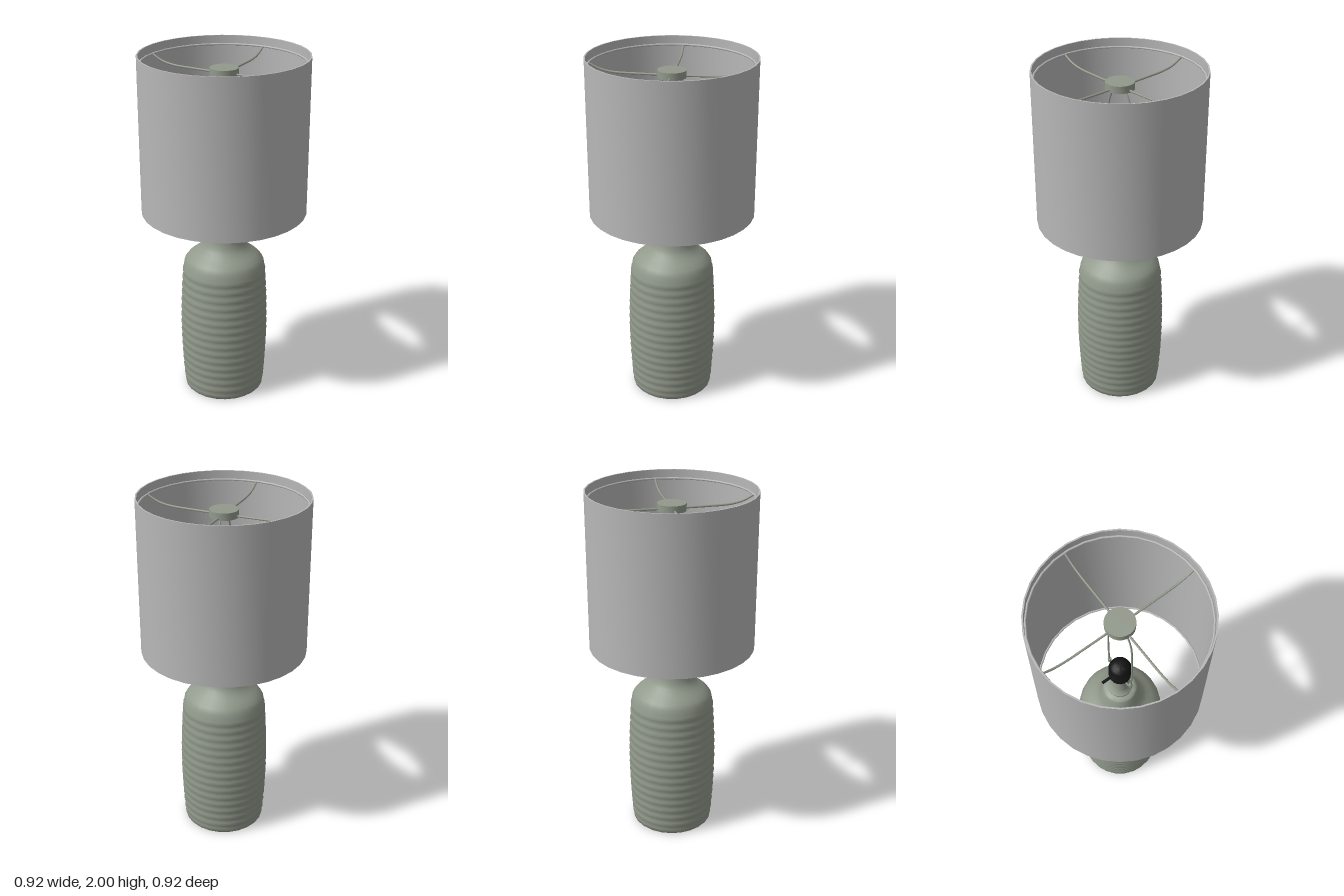
import * as THREE from 'three';
import { toCreasedNormals } from 'three/addons/utils/BufferGeometryUtils.js';

const shadeMat = new THREE.MeshStandardMaterial({ color: 0xb8b8b8 });
shadeMat.name = 'shade grey';
const sageMat = new THREE.MeshStandardMaterial({ color: 0x929a8c });
sageMat.name = 'sage green';
const blackMat = new THREE.MeshStandardMaterial({ color: 0x121212 });
blackMat.name = 'socket black';

// Profiles run upwards on the outside, as [radius, height] pairs
function lathe(name, profile, segments, material, crease = 0.7) {
  const points = profile.map(([r, y]) => new THREE.Vector2(r, y));
  const geometry = toCreasedNormals(new THREE.LatheGeometry(points, segments), crease);
  const mesh = new THREE.Mesh(geometry, material);
  mesh.name = name;
  return mesh;
}

function wire(name, points, radius, material, steps = 16) {
  const curve = new THREE.CatmullRomCurve3(points.map((p) => new THREE.Vector3(...p)));
  const mesh = new THREE.Mesh(new THREE.TubeGeometry(curve, steps, radius, 8), material);
  mesh.name = name;
  return mesh;
}

function vaseBody() {
  const profile = [[0, 0], [0.222, 0], [0.23, 0.008], [0.233, 0.03]];
  // Stacked shallow ribs over a gently bulging wall
  const ribs = 15, steps = 4, low = 0.04, high = 0.78;
  for (let i = 0; i <= ribs * steps; i++) {
    const t = i / (ribs * steps);
    const wall = 0.232 + 0.017 * Math.sin(Math.PI * Math.min(1, t * 0.94 + 0.03));
    const rib = 0.005 * Math.abs(Math.sin(Math.PI * i / steps));
    profile.push([wall + rib - 0.002, low + (high - low) * t]);
  }
  // Shoulder, neck and lip
  profile.push([0.227, 0.81], [0.21, 0.835], [0.185, 0.857], [0.157, 0.878], [0.135, 0.9],
    [0.122, 0.922], [0.114, 0.95], [0.105, 1.0], [0.096, 1.035], [0.092, 1.045], [0.083, 1.05], [0, 1.05]);
  return lathe('vaseBody', profile, 24, sageMat, 1.0);
}

function shade() {
  const group = new THREE.Group();
  group.name = 'lampshade';
  const outer = 0.462, inner = 0.454, bottom = 1.122, top = 2;
  group.add(lathe('shadeWall',
    [[outer, bottom], [outer, top], [inner, top], [inner, bottom], [outer, bottom]], 32, shadeMat));
  for (const [name, y] of [['upperRing', 1.95], ['lowerRing', 1.132]]) {
    const ring = new THREE.Mesh(new THREE.TorusGeometry(0.449, 0.006, 8, 32), shadeMat);
    ring.name = name;
    ring.rotation.x = Math.PI / 2;
    ring.position.y = y;
    group.add(ring);
  }
  return group;
}

function createFrame() {
  const frame = new THREE.Group();
  frame.name = 'wireFrame';
  // Hub cap and four spokes that dip away from the upper ring
  frame.add(lathe('hubCap', [[0, 1.89], [0.078, 1.89], [0.078, 1.93], [0, 1.93]], 24, sageMat));
  for (let i = 0; i < 4; i++) {
    const spoke = wire('spoke', [[0.05, 1.9, 0], [0.2, 1.901, 0], [0.32, 1.905, 0],
      [0.39, 1.92, 0], [0.449, 1.95, 0]], 0.006, sageMat);
    spoke.rotation.y = i * Math.PI / 2;
    frame.add(spoke);
  }
  // Harp: two bowed wires with sleeves, joined beneath the socket
  for (const side of [-1, 1]) {
    frame.add(wire('harpWire', [[0.03, 1.225, 0], [0.075, 1.225, 0], [0.093, 1.26, 0], [0.1, 1.36, 0],
      [0.1, 1.6, 0], [0.09, 1.78, 0], [0.06, 1.86, 0], [0.03, 1.9, 0]]
      .map(([x, y, z]) => [x * side, y, z]), 0.005, sageMat, 32));
    const sleeve = new THREE.Mesh(new THREE.CylinderGeometry(0.01, 0.01, 0.035, 10), sageMat);
    sleeve.name = 'harpSleeve';
    sleeve.position.set(0.094 * side, 1.265, 0);
    frame.add(sleeve);
  }
  // Switch key on the socket
  const key = new THREE.Mesh(new THREE.CylinderGeometry(0.008, 0.008, 0.065, 10), blackMat);
  key.name = 'switchKey';
  key.rotation.x = Math.PI / 2;
  key.position.set(0, 1.29, -0.085);
  frame.add(key);
  frame.rotation.y = 0.245;
  return frame;
}

export function createModel() {
  const lamp = new THREE.Group();
  lamp.name = 'tableLamp';
  lamp.add(vaseBody(), shade(), createFrame());

  // Stem with a flared foot
  lamp.add(lathe('stem', [[0, 1.045], [0.066, 1.045], [0.066, 1.062], [0.058, 1.07], [0.05, 1.088],
    [0.045, 1.1], [0.045, 1.235], [0, 1.235]], 20, sageMat));

  // Ribbed socket with a domed top
  const socket = [[0, 1.23], [0.05, 1.23], [0.06, 1.24]];
  for (let i = 0; i <= 12; i++) socket.push([i % 2 ? 0.063 : 0.059, 1.25 + i * 0.007]);
  socket.push([0.056, 1.35], [0.045, 1.366], [0.028, 1.374], [0, 1.376]);
  lamp.add(lathe('socket', socket, 20, blackMat));
  return lamp;
}
